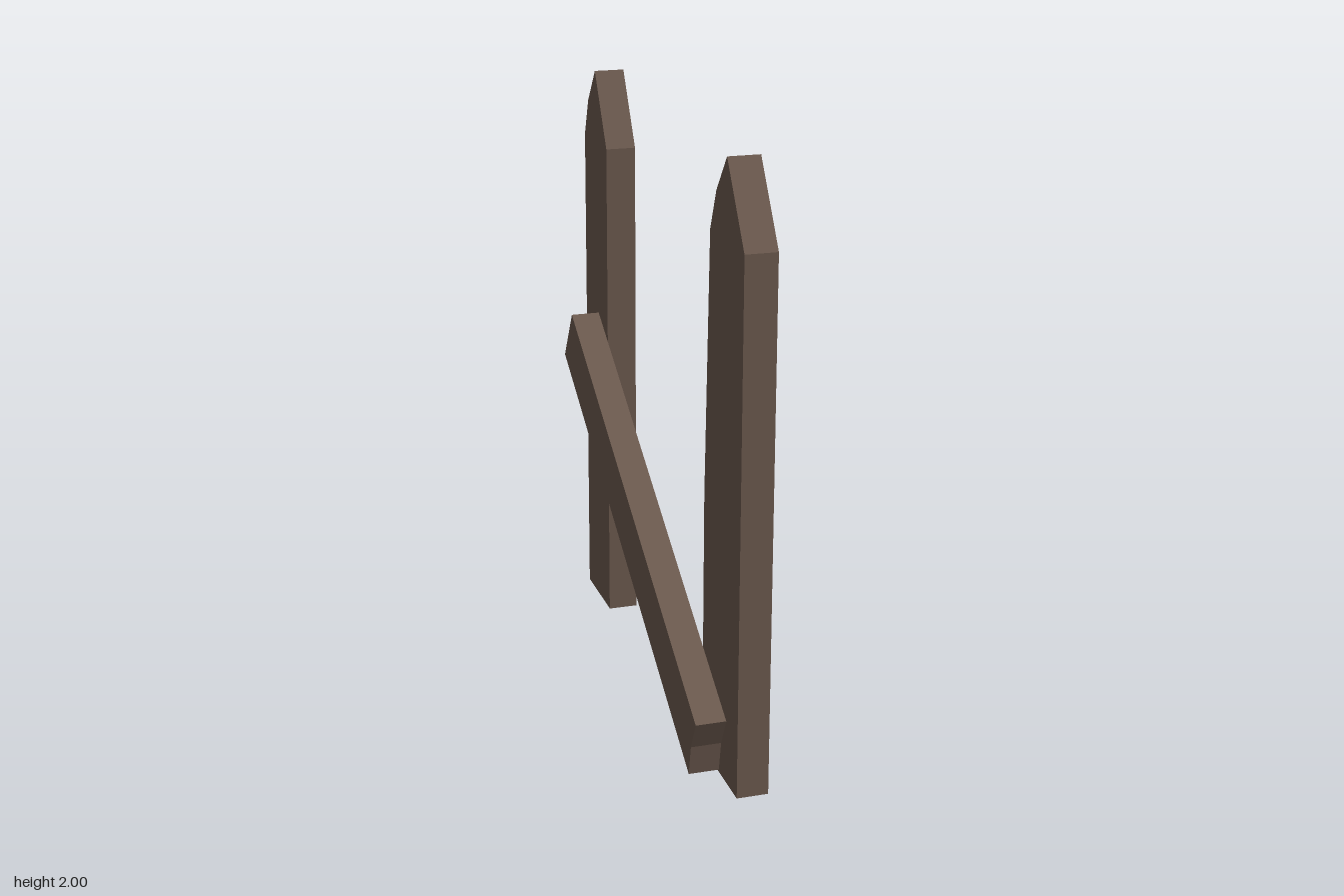
import * as THREE from 'three';

const wood = new THREE.MeshStandardMaterial({ color: 0x6b594e, flatShading: true });

// Cuts a plank from a [z, y] outline, spanning xMin to xMax in thickness
function plank(name, outline, xMin, xMax) {
  const shape = new THREE.Shape(outline.map(([z, y]) => new THREE.Vector2(z, y)));
  const geometry = new THREE.ExtrudeGeometry(shape, { depth: xMax - xMin, bevelEnabled: false });
  geometry.rotateY(-Math.PI / 2);
  geometry.translate(xMax, 0, 0);
  const mesh = new THREE.Mesh(geometry, wood);
  mesh.name = name;
  return mesh;
}

export function createModel() {
  const fence = new THREE.Group();
  fence.name = 'brokenFence';

  // Pointed pickets, each with one chipped shoulder; the front one tapers
  fence.add(plank('frontPicket', [
    [0.885, 0], [0.885, 1.75], [0.72, 2], [0.625, 1.88],
    [0.57, 1.75], [0.535, 0.88], [0.535, 0],
  ], 0.003, 0.107));
  fence.add(plank('backPicket', [
    [-0.595, 0], [-0.595, 1.75], [-0.74, 2], [-0.835, 1.88],
    [-0.885, 1.75], [-0.885, 0],
  ], 0.003, 0.107));

  // Slanted rail with a splintered lower end
  fence.add(plank('fallenRail', [
    [0.805, 0.23], [0.757, 0.13], [0.737, 0.025],
    [-0.79, 0.953], [-0.68, 1.135],
  ], -0.107, -0.007));

  return fence;
}
